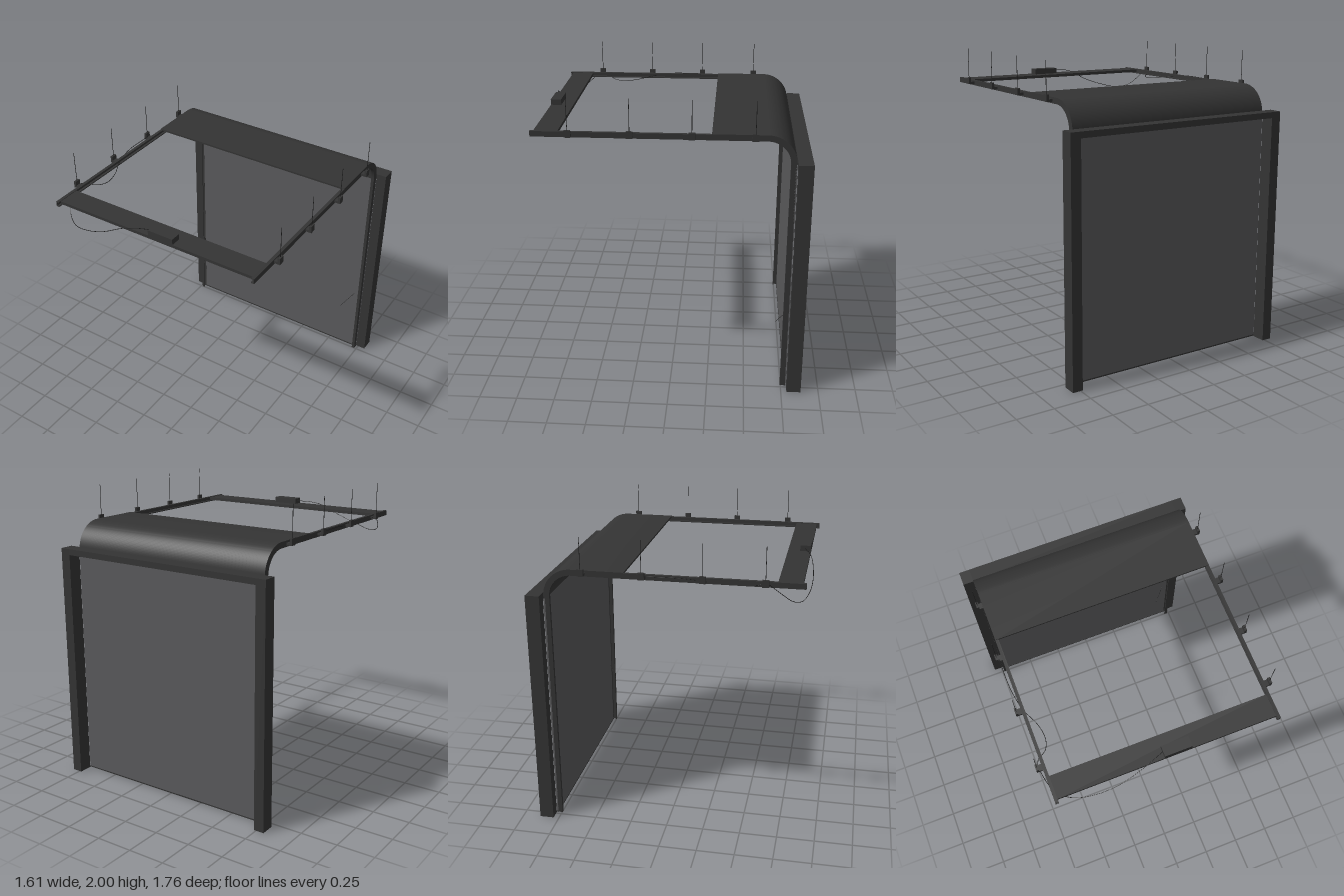
import * as THREE from 'three';
import { toCreasedNormals } from 'three/addons/utils/BufferGeometryUtils.js';

const frameMat = new THREE.MeshStandardMaterial({ color: 0x343434 });
frameMat.name = 'dark metal';
const doorMat = new THREE.MeshStandardMaterial({ color: 0x5a5a5c });
doorMat.name = 'grey door';
const wireMat = new THREE.MeshStandardMaterial({ color: 0x1c1c1c });
wireMat.name = 'black wire';

// centre of the bend where the track turns from wall to ceiling
const BEND_Z = -0.6, BEND_Y = 1.595;

function add(parent, name, geometry, material) {
  const mesh = new THREE.Mesh(geometry, material);
  mesh.name = name;
  parent.add(mesh);
  return mesh;
}

// box given by its limits on each axis
function box(parent, name, [x0, x1], [y0, y1], [z0, z1], material = frameMat) {
  const mesh = add(parent, name, new THREE.BoxGeometry(x1 - x0, y1 - y0, z1 - z0), material);
  mesh.position.set((x0 + x1) / 2, (y0 + y1) / 2, (z0 + z1) / 2);
  return mesh;
}

// strip that climbs the wall, bends and runs along the ceiling
function bentStrip(parent, name, rIn, rOut, yStart, zEnd, x, width) {
  const s = new THREE.Shape();
  s.moveTo(BEND_Z - rOut, yStart);
  s.lineTo(BEND_Z - rOut, BEND_Y);
  s.absarc(BEND_Z, BEND_Y, rOut, Math.PI, Math.PI / 2, true);
  s.lineTo(zEnd, BEND_Y + rOut);
  s.lineTo(zEnd, BEND_Y + rIn);
  s.absarc(BEND_Z, BEND_Y, rIn, Math.PI / 2, Math.PI, false);
  s.lineTo(BEND_Z - rIn, yStart);
  s.closePath();
  const g = new THREE.ExtrudeGeometry(s, { depth: width, bevelEnabled: false, curveSegments: 16 });
  g.translate(0, 0, -width / 2);
  g.rotateY(-Math.PI / 2);
  g.translate(x, 0, 0);
  return add(parent, name, toCreasedNormals(g, 0.5), frameMat);
}

function cable(parent, name, points, radius = 0.002) {
  const curve = new THREE.CatmullRomCurve3(points.map(p => new THREE.Vector3(...p)));
  return add(parent, name, new THREE.TubeGeometry(curve, 48, radius, 5), wireMat);
}

export function createModel() {
  const model = new THREE.Group();
  model.name = 'sectionalGarageDoor';

  // wall frame
  const frame = new THREE.Group();
  frame.name = 'frame';
  model.add(frame);
  box(frame, 'leftPost', [0.735, 0.805], [0, 1.615], [-0.882, -0.788]);
  box(frame, 'rightPost', [-0.805, -0.735], [0, 1.615], [-0.882, -0.788]);
  box(frame, 'header', [-0.735, 0.735], [1.575, 1.615], [-0.882, -0.788]);

  // door: flat lower part, then a sheet bending under the ceiling
  box(model, 'doorPanel', [-0.735, 0.735], [0.012, 1.578], [-0.786, -0.774], doorMat);
  box(model, 'bottomSeal', [-0.735, 0.735], [0.003, 0.012], [-0.786, -0.772]);
  bentStrip(model, 'bentDoorSection', 0.172, 0.184, 1.578, -0.26, 0, 1.47);

  // tracks, hangers and drop rods on both sides
  for (const side of [1, -1]) {
    const track = new THREE.Group();
    track.name = side > 0 ? 'leftTrack' : 'rightTrack';
    model.add(track);
    bentStrip(track, 'trackWeb', 0.145, 0.18, 0.005, 0.86, side * 0.732, 0.006);
    bentStrip(track, 'outerFlange', 0.173, 0.18, 0.005, 0.86, side * 0.724, 0.02);
    bentStrip(track, 'innerFlange', 0.145, 0.152, 0.005, 0.86, side * 0.724, 0.02);
    for (const z of [0.62, 0.24, -0.14, -0.525]) {
      const hanger = new THREE.Group();
      hanger.name = 'hanger';
      hanger.position.set(side * 0.753, 0, z);
      track.add(hanger);
      box(hanger, 'hangerFoot', [-0.022, 0.022], [1.75, 1.766], [-0.02, 0.02]);
      const out = side > 0 ? [0.006, 0.022] : [-0.022, -0.006];
      box(hanger, 'hangerUpright', out, [1.766, 1.795], [-0.02, 0.02]);
      const rod = add(hanger, 'dropRod', new THREE.CylinderGeometry(0.0018, 0.0018, 0.22, 6), wireMat);
      rod.position.set(side * 0.013, 1.89, 0);
    }
  }

  // front cross strip with the motor box
  box(model, 'crossStrip', [-0.715, 0.715], [1.752, 1.772], [0.69, 0.84]);
  box(model, 'motorBox', [-0.025, 0.155], [1.77, 1.81], [0.77, 0.84]);

  // cables on the right side
  cable(model, 'motorCable', [
    [-0.02, 1.79, 0.8], [-0.1, 1.79, 0.83], [-0.2, 1.77, 0.86], [-0.35, 1.7, 0.88],
    [-0.5, 1.65, 0.87], [-0.62, 1.627, 0.835], [-0.7, 1.65, 0.78], [-0.735, 1.7, 0.72], [-0.755, 1.765, 0.64]]);
  cable(model, 'trackCable', [
    [-0.755, 1.765, 0.6], [-0.74, 1.75, 0.565], [-0.68, 1.738, 0.52], [-0.655, 1.73, 0.45],
    [-0.67, 1.738, 0.35], [-0.72, 1.752, 0.24], [-0.75, 1.77, 0.1], [-0.755, 1.77, -0.13]]);

  // pull cord on the inside of the door
  cable(model, 'pullCord', [[0.675, 0.53, -0.772], [0.64, 0.48, -0.735], [0.6, 0.42, -0.705]], 0.0015);

  return model;
}
